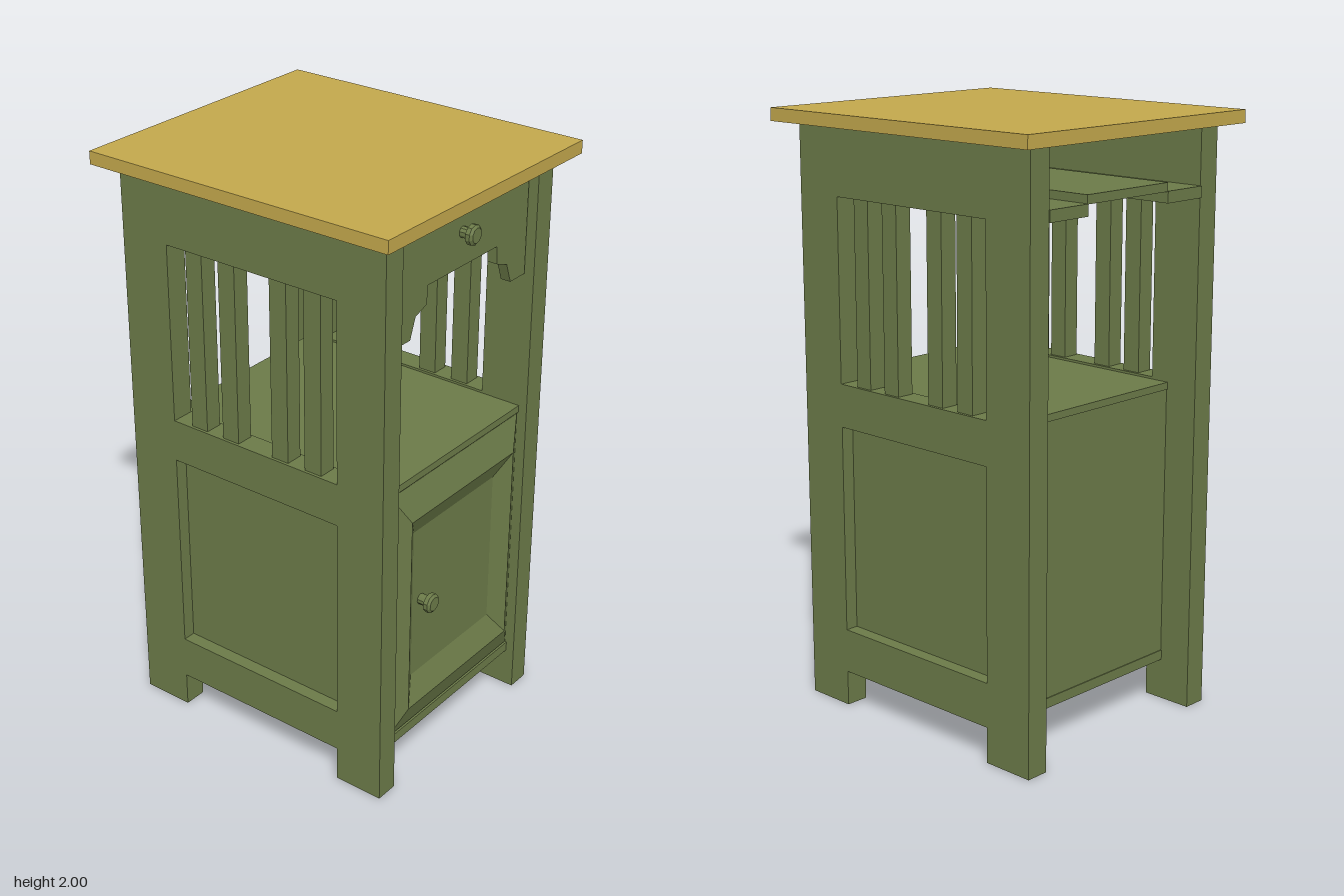
import * as THREE from 'three';

const green = new THREE.MeshStandardMaterial({ color: 0x6b7a48, flatShading: true });
const oak = new THREE.MeshStandardMaterial({ color: 0xc2a74c, flatShading: true });

export function createModel() {
  const model = new THREE.Group();
  const add = (name, geometry, material = green) => {
    const mesh = new THREE.Mesh(geometry, material);
    mesh.name = name;
    model.add(mesh);
    return mesh;
  };
  // Box given by its limits on each axis
  const box = (name, [x0, x1], [y0, y1], [z0, z1], material) =>
    add(name, new THREE.BoxGeometry(x1 - x0, y1 - y0, z1 - z0), material)
      .position.set((x0 + x1) / 2, (y0 + y1) / 2, (z0 + z1) / 2);
  const polygon = (points) => points.map(([x, y]) => new THREE.Vector2(x, y));
  const rectHole = (w, y0, y1) => new THREE.Path(polygon([[-w, y0], [-w, y1], [w, y1], [w, y0]]));

  box('tabletop', [-0.5, 0.5], [1.957, 2], [-0.565, 0.562], oak);

  // Side frames: legs, rails, a slatted opening and a recessed panel
  const frame = new THREE.Shape(polygon([
    [-0.51, 0], [-0.33, 0], [-0.33, 0.12], [0.33, 0.12],
    [0.33, 0], [0.505, 0], [0.505, 1.957], [-0.51, 1.957],
  ]));
  frame.holes.push(rectHole(0.33, 1.12, 1.73), rectHole(0.33, 0.27, 0.975));
  const frameGeometry = new THREE.ExtrudeGeometry(frame, { depth: 0.08, bevelEnabled: false });
  frameGeometry.rotateY(-Math.PI / 2);
  for (const [side, s] of [['left', 1], ['right', -1]]) {
    add(`${side}SideFrame`, frameGeometry).position.x = s > 0 ? 0.43 : -0.35;
    const span = (a, b) => (s > 0 ? [a, b] : [-b, -a]);
    box(`${side}SidePanel`, span(0.352, 0.385), [0.26, 0.985], [-0.335, 0.335]);
    for (const z of [-0.23, -0.1, 0.1, 0.23]) {
      box(`${side}Slat`, span(0.36, 0.42), [1.115, 1.735], [z - 0.032, z + 0.032]);
    }
    // Runner beside the raised drawer bottom
    box(`${side}DrawerRunner`, span(0.185, 0.352), [1.73, 1.768], [-0.515, 0.45]);
  }
  box('drawerBottom', [-0.187, 0.187], [1.766, 1.795], [-0.512, 0.45]);

  // Drawer front with a stepped, bracketed lower edge
  const half = [[0.18, 1.73], [0.185, 1.67], [0.24, 1.65], [0.265, 1.583], [0.345, 1.583], [0.345, 1.95]];
  const apron = new THREE.Shape(polygon([
    ...half, ...half.map(([x, y]) => [-x, y]).reverse(),
  ]));
  add('drawerFront', new THREE.ExtrudeGeometry(apron, { depth: 0.035, bevelEnabled: false }))
    .position.z = 0.438;

  // Cupboard body
  box('cupboardTop', [-0.351, 0.351], [1.088, 1.112], [-0.395, 0.475]);
  box('cupboardBottom', [-0.351, 0.351], [0.14, 0.174], [-0.395, 0.475]);
  box('cupboardBack', [-0.351, 0.351], [0.17, 1.09], [-0.392, -0.36]);

  add('door', doorGeometry());
  add('drawerKnob', knobGeometry()).position.set(-0.01, 1.842, 0.468);
  add('doorKnob', knobGeometry()).position.set(-0.175, 0.632, 0.468);
  return model;
}

// Raised door moulding sloping in to a sunken panel, from rectangular loops
function doorGeometry() {
  const loops = [
    [0, 0.63, 0.63, 0.44],
    [0.345, 0.18, 1.084, 0.44],
    [0.345, 0.18, 1.084, 0.472],
    [0.28, 0.273, 0.978, 0.507],
    [0.22, 0.358, 0.9, 0.47],
    [0, 0.63, 0.63, 0.47],
  ].map(([w, y0, y1, z]) => [[-w, y0, z], [w, y0, z], [w, y1, z], [-w, y1, z]]);
  const position = [];
  for (let i = 0; i + 1 < loops.length; i++) {
    for (let k = 0; k < 4; k++) {
      const n = (k + 1) % 4;
      const a = loops[i][k], b = loops[i][n], c = loops[i + 1][n], d = loops[i + 1][k];
      position.push(...a, ...b, ...c, ...a, ...c, ...d);
    }
  }
  const geometry = new THREE.BufferGeometry();
  geometry.setAttribute('position', new THREE.Float32BufferAttribute(position, 3));
  geometry.computeVertexNormals();
  return geometry;
}

// Faceted knob on a short neck, pointing to the front
function knobGeometry() {
  const profile = [[0, 0], [0.018, 0], [0.018, 0.03], [0.033, 0.035], [0.033, 0.05], [0.024, 0.057], [0, 0.057]];
  return new THREE.LatheGeometry(profile.map(([r, y]) => new THREE.Vector2(r, y)), 10).rotateX(Math.PI / 2);
}
